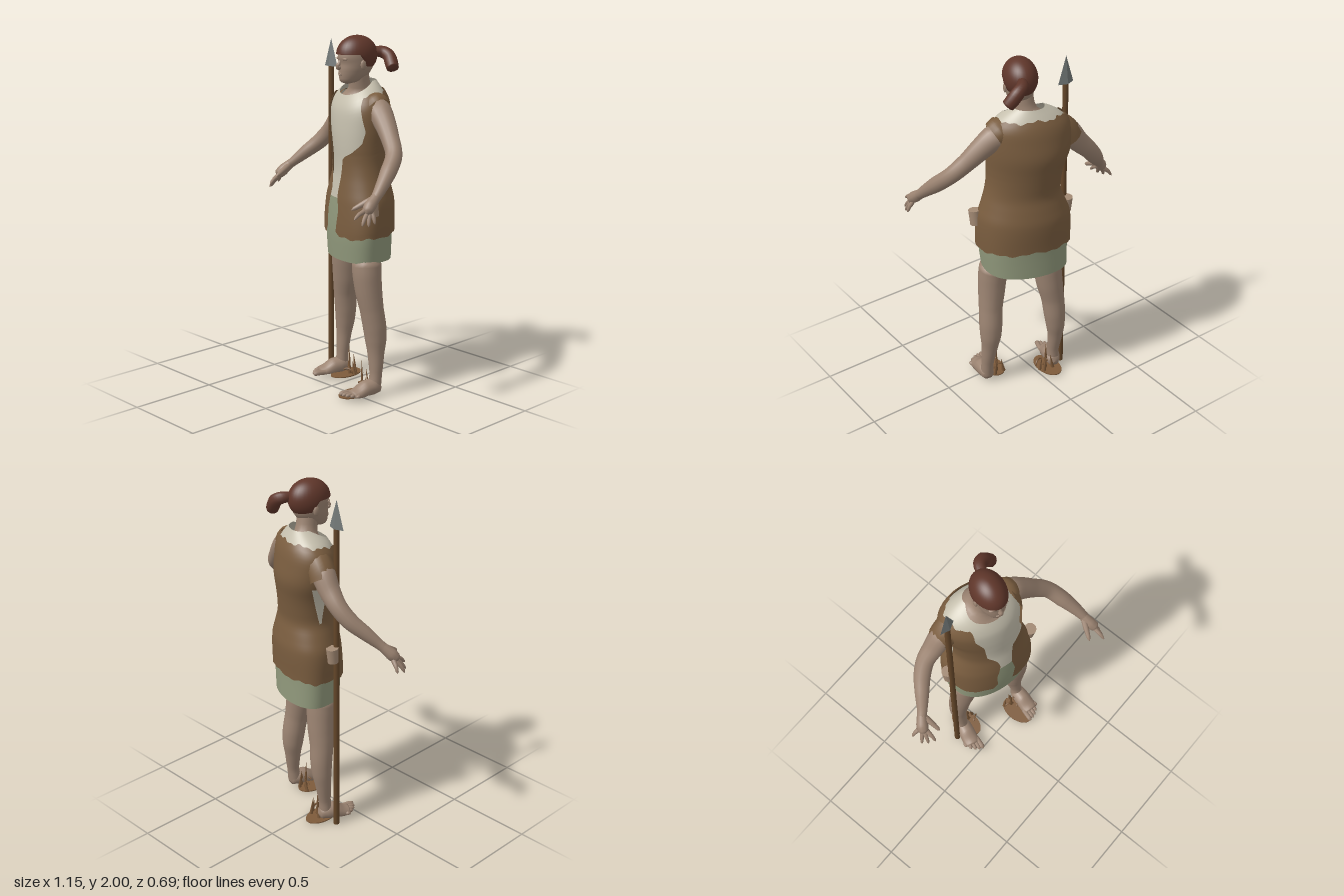
import * as THREE from 'three';
import { mergeVertices } from 'three/addons/utils/BufferGeometryUtils.js';

const mat = (name, color, side = THREE.FrontSide) => {
  const m = new THREE.MeshStandardMaterial({ color, side });
  m.name = name;
  return m;
};

// Lookup in rows of [key, value, value, ...], straight or rounded between rows
function lookup(rows, k, rounded = false) {
  let i = 0;
  while (i < rows.length - 2 && k > rows[i + 1][0]) i++;
  const h = rows[i + 1][0] - rows[i][0];
  const t = THREE.MathUtils.clamp((k - rows[i][0]) / h, 0, 1);
  const slope = (n, j) => {
    const a = rows[Math.max(n - 1, 0)], b = rows[Math.min(n + 1, rows.length - 1)];
    return (b[j] - a[j]) / (b[0] - a[0]) * h;
  };
  return rows[i].map((v, j) => {
    const d = rows[i + 1][j] - v;
    if (!rounded) return v + d * t;
    const m0 = slope(i, j), m1 = slope(i + 1, j);
    return v + t * (m0 + t * (3 * d - 2 * m0 - m1 + t * (m0 + m1 - 2 * d)));
  });
}

function smooth(geo) {
  geo.deleteAttribute('uv');
  geo.deleteAttribute('normal');
  const g = mergeVertices(geo, 1e-5);
  g.computeVertexNormals();
  return g;
}

// Surface from a rule fn(u, v) -> [x, y, z]
function grid(nu, nv, fn) {
  const pos = [], idx = [];
  for (let j = 0; j <= nv; j++) for (let i = 0; i <= nu; i++) pos.push(...fn(i / nu, j / nv));
  for (let j = 0; j < nv; j++) for (let i = 0; i < nu; i++) {
    const a = j * (nu + 1) + i, b = a + nu + 1;
    idx.push(a, a + 1, b + 1, a, b + 1, b);
  }
  const g = new THREE.BufferGeometry();
  g.setAttribute('position', new THREE.Float32BufferAttribute(pos, 3));
  g.setIndex(idx);
  return smooth(g);
}

// Tube of changing radius through points [x, y, z, radius]
function limb(pts, seg = 24, sides = 14) {
  const curve = new THREE.CatmullRomCurve3(pts.map(p => new THREE.Vector3(p[0], p[1], p[2])));
  const g = new THREE.TubeGeometry(curve, seg, 1, sides);
  const p = g.attributes.position, n = g.attributes.normal;
  const radii = pts.map((q, i) => [i, q[3]]);
  for (let i = 0; i <= seg; i++) {
    const c = curve.getPointAt(i / seg);
    const r = lookup(radii, curve.getUtoTmapping(i / seg) * (pts.length - 1))[1];
    for (let j = 0; j <= sides; j++) {
      const k = i * (sides + 1) + j;
      p.setXYZ(k, c.x + n.getX(k) * r, c.y + n.getY(k) * r, c.z + n.getZ(k) * r);
    }
  }
  return smooth(g);
}

// Torso sections: y, centre x, centre z, half width, half depth
const TORSO = [
  [0.77, 0.07, -0.145, 0.225, 0.177], [0.93, 0.075, -0.138, 0.234, 0.182], [1.1, 0.075, -0.145, 0.234, 0.182],
  [1.18, 0.077, -0.143, 0.212, 0.17], [1.25, 0.08, -0.14, 0.19, 0.158], [1.32, 0.075, -0.145, 0.185, 0.16],
  [1.4, 0.07, -0.15, 0.19, 0.168], [1.5, 0.06, -0.16, 0.207, 0.176], [1.6, 0.055, -0.16, 0.213, 0.165],
  [1.65, 0.055, -0.165, 0.203, 0.15], [1.69, 0.055, -0.17, 0.175, 0.13], [1.72, 0.06, -0.175, 0.14, 0.105],
  [1.755, 0.07, -0.185, 0.085, 0.07]];
function torso(y, a, off) {
  const [, cx, cz, hx, hz] = lookup(TORSO, y, true);
  const dx = (hx + off) * Math.sin(a), c = Math.cos(a);
  const square = 0.72 + 0.28 * THREE.MathUtils.smoothstep(y, 0.9, 1.25);
  return [cx + dx, y, cz + (hz + off) * Math.sign(c) * Math.abs(c) ** square + 0.22 * dx];
}
// Front edges of the open vest: y, x
const EDGE_L = [[0.9, 0.13], [0.93, 0.08], [1.05, 0.1], [1.15, 0.085], [1.25, 0.1], [1.35, 0.11], [1.38, 0.17],
  [1.43, 0.22], [1.5, 0.235], [1.6, 0.215], [1.72, 0.18]];
const EDGE_R = [[0.9, -0.04], [0.95, -0.01], [1.05, -0.01], [1.17, 0.02], [1.23, 0.01], [1.3, -0.03],
  [1.5, -0.055], [1.6, -0.09], [1.72, -0.07]];
function edgeAngle(table, y) {
  const [, cx, , hx] = lookup(TORSO, y, true);
  return Math.asin(THREE.MathUtils.clamp((lookup(table, y)[1] - cx) / hx, -0.95, 0.95));
}
const jag = a => 0.005 * Math.sin(a * 7) + 0.004 * Math.sin(a * 17 + 1);

export function createModel() {
  const root = new THREE.Group();
  const skin = mat('skin', 0x9c8472), hairM = mat('hair', 0x5f362a);
  const hide = mat('brown hide', 0x7a5d3f, THREE.DoubleSide), linen = mat('cream linen', 0xc6c0ae, THREE.DoubleSide);
  const green = mat('green cloth', 0x91997c, THREE.DoubleSide), wood = mat('wood', 0x644629);
  const stone = mat('grey stone', 0x727877), clay = mat('tan pouch', 0xa38a74), sole = mat('sandal brown', 0x7d5a3a);
  const add = (name, geo, m, parent = root) => {
    const mesh = new THREE.Mesh(geo, m);
    mesh.name = name;
    parent.add(mesh);
    return mesh;
  };
  const TAU = Math.PI * 2;

  // Clothes
  add('skirt', grid(64, 8, (u, v) => {
    const a = u * TAU;
    return torso(0.772 + (1.13 - 0.772) * v, a, -0.01);
  }), green);
  add('shirt', grid(48, 26, (u, v) => {
    const a = u * TAU, top = 1.755 - 0.075 * Math.max(0, Math.cos(a)) ** 1.5;
    return torso(1.12 + (top - 1.12) * v, a, -0.008);
  }), linen);
  add('vest', grid(72, 40, (u, v) => {
    const yn = 0.91 + 0.78 * v;
    const a0 = edgeAngle(EDGE_L, yn), a1 = TAU + edgeAngle(EDGE_R, yn);
    const a = a0 + (a1 - a0) * u;
    const rise = (1 - Math.cos(a)) * 0.013 * (1 - v) ** 4 - Math.cos(a) * 0.018 * v ** 4;
    return torso(yn + rise + jag(a) * (Math.abs(v - 0.5) * 2) ** 4, a, 0.004);
  }), hide);
  // Shirt showing through the vest's open right side
  add('armholeShirt', grid(14, 14, (u, v) => {
    const half = 0.04 + 0.26 * v;
    return torso(1.26 + 0.22 * v, 4.5 + (u - 0.5) * 2 * half, 0.008);
  }), linen);
  add('rightSleeve', limb([[-0.05, 1.63, -0.2, 0.07], [-0.095, 1.605, -0.22, 0.08], [-0.13, 1.575, -0.23, 0.076],
    [-0.16, 1.53, -0.24, 0.072]], 12), hide);
  add('leftSleeve', limb([[0.19, 1.63, -0.13, 0.076], [0.215, 1.62, -0.122, 0.083], [0.24, 1.605, -0.116, 0.076]], 8), hide);

  // Neck and head
  add('neck', limb([[0.06, 1.6, -0.16, 0.145], [0.06, 1.665, -0.16, 0.115], [0.065, 1.71, -0.15, 0.064],
    [0.07, 1.75, -0.14, 0.057], [0.075, 1.86, -0.12, 0.056]], 16, 20), skin);
  const head = new THREE.Group();
  head.name = 'head';
  head.position.set(0.075, 0, -0.113);
  head.rotation.y = -0.3;
  root.add(head);
  // y, half width, front z, back z
  const SKULL = [[1.738, 0.003, 0.06, 0.055], [1.742, 0.03, 0.085, 0.02], [1.76, 0.048, 0.1, -0.03], [1.79, 0.063, 0.103, -0.07],
    [1.82, 0.073, 0.103, -0.09], [1.85, 0.078, 0.1, -0.1], [1.88, 0.08, 0.108, -0.102], [1.93, 0.079, 0.1, -0.1],
    [1.97, 0.055, 0.06, -0.07], [1.985, 0.003, 0.003, -0.003]];
  add('face', grid(28, 24, (u, v) => {
    const [y, hx, f, b] = lookup(SKULL, 1.738 + 0.247 * v), a = u * TAU;
    return [hx * Math.sin(a), y, (f + b) / 2 + (f - b) / 2 * Math.cos(a)];
  }), skin, head);
  add('nose', limb([[0, 1.872, 0.097, 0.006], [0, 1.85, 0.106, 0.01], [0, 1.834, 0.115, 0.014], [0, 1.824, 0.1, 0.012]], 8, 8), skin, head);
  const blob = (name, x, y, z, sx, sy, sz) => {
    const m = add(name, new THREE.SphereGeometry(1, 12, 8), skin, head);
    m.position.set(x, y, z);
    m.scale.set(sx, sy, sz);
  };
  blob('upperLip', 0, 1.797, 0.1, 0.022, 0.005, 0.007);
  blob('lowerLip', 0, 1.788, 0.099, 0.02, 0.006, 0.008);
  for (const s of [-1, 1]) {
    blob('brow', s * 0.032, 1.876, 0.088, 0.025, 0.008, 0.013);
    blob('ear', s * 0.081, 1.845, 0.0, 0.009, 0.027, 0.017);
  }
  const cap = new THREE.SphereGeometry(1, 32, 28);
  const cp = cap.attributes.position;
  for (let i = 0; i < cp.count; i++) {
    const z = cp.getZ(i) * 0.118 - 0.002;
    const line = 1.81 + 0.09 * THREE.MathUtils.smoothstep(z, -0.04, 0.02);
    cp.setXYZ(i, cp.getX(i) * 0.09, Math.max(1.895 + cp.getY(i) * 0.105, line), z);
  }
  add('hair', smooth(cap), hairM, head);
  add('ponytail', limb([[0.12, 1.91, -0.19, 0.026], [0.153, 1.905, -0.238, 0.033], [0.188, 1.885, -0.249, 0.036],
    [0.215, 1.85, -0.24, 0.037], [0.238, 1.82, -0.228, 0.033], [0.241, 1.816, -0.226, 0.001]], 20, 10), hairM);

  // Arms and hands
  const hand = (side, wrist, palm, knuckles, tips, thumb) => {
    add(side + 'Palm', limb([[...wrist, 0.026], [...palm, 0.033], [...knuckles, 0.028],
      [...knuckles.map((k, i) => k + (k - palm[i]) * 0.4), 0.002]], 12, 10), skin);
    tips.forEach(t => {
      const base = palm.map((k, i) => k * 0.55 + t[i] * 0.45);
      const mid = base.map((k, i) => (k + t[i]) / 2 + (i === 1 ? 0.006 : 0));
      add(side + 'Finger', limb([[...palm, 0.012], [...base, 0.013], [...mid, 0.011], [...t, 0.007],
        [...t.map((k, i) => k + (k - mid[i]) * 0.15), 0.001]], 10, 8), skin);
    });
    add(side + 'Thumb', limb([[...wrist, 0.016], [...wrist.map((k, i) => (k + thumb[i]) / 2), 0.016],
      [...thumb, 0.009], [...thumb.map((k, i) => k + (k - wrist[i]) * 0.05), 0.001]], 10, 8), skin);
  };
  add('leftArm', limb([[0.17, 1.61, -0.14, 0.06], [0.24, 1.6, -0.12, 0.07], [0.3, 1.555, -0.1, 0.061], [0.38, 1.475, -0.065, 0.05],
    [0.45, 1.4, -0.02, 0.045], [0.487, 1.325, 0.06, 0.044], [0.512, 1.255, 0.14, 0.033], [0.523, 1.21, 0.19, 0.026]], 30), skin);
  hand('left', [0.52, 1.22, 0.18], [0.525, 1.18, 0.23], [0.535, 1.155, 0.26],
    [[0.52, 1.125, 0.335], [0.545, 1.092, 0.305], [0.56, 1.087, 0.275], [0.57, 1.097, 0.24]], [0.452, 1.157, 0.285]);
  add('rightArm', limb([[-0.1, 1.61, -0.22, 0.06], [-0.155, 1.56, -0.235, 0.066], [-0.21, 1.49, -0.245, 0.058],
    [-0.28, 1.42, -0.25, 0.049], [-0.34, 1.355, -0.226, 0.046], [-0.4, 1.295, -0.18, 0.039], [-0.457, 1.235, -0.133, 0.028],
    [-0.478, 1.215, -0.118, 0.026]], 30), skin);
  hand('right', [-0.474, 1.22, -0.122], [-0.51, 1.178, -0.09], [-0.526, 1.152, -0.07],
    [[-0.516, 1.105, 0.003], [-0.546, 1.086, -0.022], [-0.567, 1.081, -0.05], [-0.573, 1.1, -0.11]], [-0.468, 1.16, -0.008]);

  // Legs and feet
  add('leftLeg', limb([[0.214, 0.8, -0.066, 0.05], [0.215, 0.765, -0.06, 0.082], [0.222, 0.7, -0.056, 0.081], [0.233, 0.6, -0.06, 0.075],
    [0.247, 0.5, -0.07, 0.067], [0.257, 0.4, -0.083, 0.066], [0.262, 0.32, -0.088, 0.06], [0.267, 0.25, -0.085, 0.048],
    [0.277, 0.13, -0.075, 0.035], [0.275, 0.05, -0.065, 0.038]], 40, 18), skin);
  add('rightLeg', limb([[-0.062, 0.8, -0.17, 0.05], [-0.065, 0.765, -0.172, 0.081], [-0.07, 0.7, -0.178, 0.08], [-0.08, 0.6, -0.188, 0.075],
    [-0.095, 0.5, -0.198, 0.066], [-0.102, 0.4, -0.208, 0.062], [-0.108, 0.32, -0.21, 0.055], [-0.112, 0.25, -0.205, 0.045],
    [-0.11, 0.13, -0.19, 0.034], [-0.112, 0.05, -0.185, 0.037]], 40, 18), skin);
  const foot = (side, x, z, turn) => {
    const g = new THREE.Group();
    g.name = side + 'Foot';
    g.position.set(x, 0, z);
    g.rotation.y = turn;
    root.add(g);
    const body = limb([[0, 0.05, -0.05, 0.002], [0, 0.05, -0.04, 0.032], [0, 0.058, 0, 0.047], [0, 0.052, 0.05, 0.05],
      [0, 0.04, 0.1, 0.05], [0, 0.032, 0.13, 0.046], [0, 0.03, 0.145, 0.002]], 22, 16);
    const p = body.attributes.position;
    for (let i = 0; i < p.count; i++) {
      const flat = 1 - 0.35 * THREE.MathUtils.smoothstep(p.getZ(i), 0.05, 0.12);
      p.setY(i, 0.025 + Math.max(0, p.getY(i) - 0.025) * flat);
    }
    body.computeVertexNormals();
    add('footBody', body, skin, g);
    const inner = side === 'left' ? -1 : 1;
    for (let i = 0; i < 5; i++) {
      const tx = inner * (0.042 - i * 0.0215), len = 0.19 - i * i * 0.0035, r = i === 0 ? 0.015 : 0.0115;
      add('toe', limb([[tx * 0.9, 0.036, 0.11, r], [tx, 0.038, len - 0.02, r], [tx, 0.034, len - 0.004, r * 0.8],
        [tx, 0.032, len, 0.001]], 8, 8), skin, g);
    }
  };
  foot('left', 0.274, -0.052, -0.22);
  foot('right', -0.112, -0.18, -0.38);

  // Broken sandals: thin soles with frayed upright straps
  const sandal = (name, x, z, sx, sz) => {
    const g = new THREE.Group();
    g.name = name;
    root.add(g);
    const disc = add('sandalSole', new THREE.CylinderGeometry(1, 1, 0.006, 28), sole, g);
    disc.position.set(x, 0.014, z);
    disc.scale.set(0.066, 1, 0.105);
    [[-0.028, 0.1, -0.2], [-0.004, 0.185, 0.03], [0.014, 0.13, 0.16], [0.03, 0.09, 0.2]].forEach(([dx, h, tilt], i) => {
      const s = add('frayedStrap', new THREE.ConeGeometry(0.011, h, 6), sole, g);
      s.position.set(sx + dx, 0.015 + h / 2, sz + (i % 2) * 0.025 - 0.012);
      s.rotation.z = tilt;
    });
    for (const d of [-0.02, 0.02]) {
      const t = add('strapLoop', new THREE.TorusGeometry(0.03, 0.005, 6, 12, 2.4), sole, g);
      t.position.set(sx + d, 0.03, sz + 0.03 + d);
      t.rotation.y = d * 20;
    }
  };
  sandal('leftSandal', 0.195, 0.012, 0.2, -0.06);
  sandal('rightSandal', -0.075, -0.185, -0.05, -0.205);

  // Belt pouches
  [['leftPouch', 0.303, -0.015, 0.12], ['rightPouch', -0.18, -0.195, -0.08]].forEach(([name, x, z, tilt]) => {
    const m = add(name, new THREE.CylinderGeometry(0.034, 0.03, 0.085, 16), clay);
    m.position.set(x, 1.092, z);
    m.rotation.x = tilt;
  });

  // Spear
  const spear = new THREE.Group();
  spear.name = 'spear';
  spear.position.set(-0.182, 0, -0.168);
  root.add(spear);
  add('shaft', new THREE.CylinderGeometry(0.016, 0.017, 1.82, 10), wood, spear).position.y = 0.91;
  const tip = new THREE.ConeGeometry(0.05, 0.155, 4).toNonIndexed();
  tip.scale(1, 1, 0.4);
  tip.computeVertexNormals();
  add('spearhead', tip, stone, spear).position.y = 1.885;

  return root;
}
